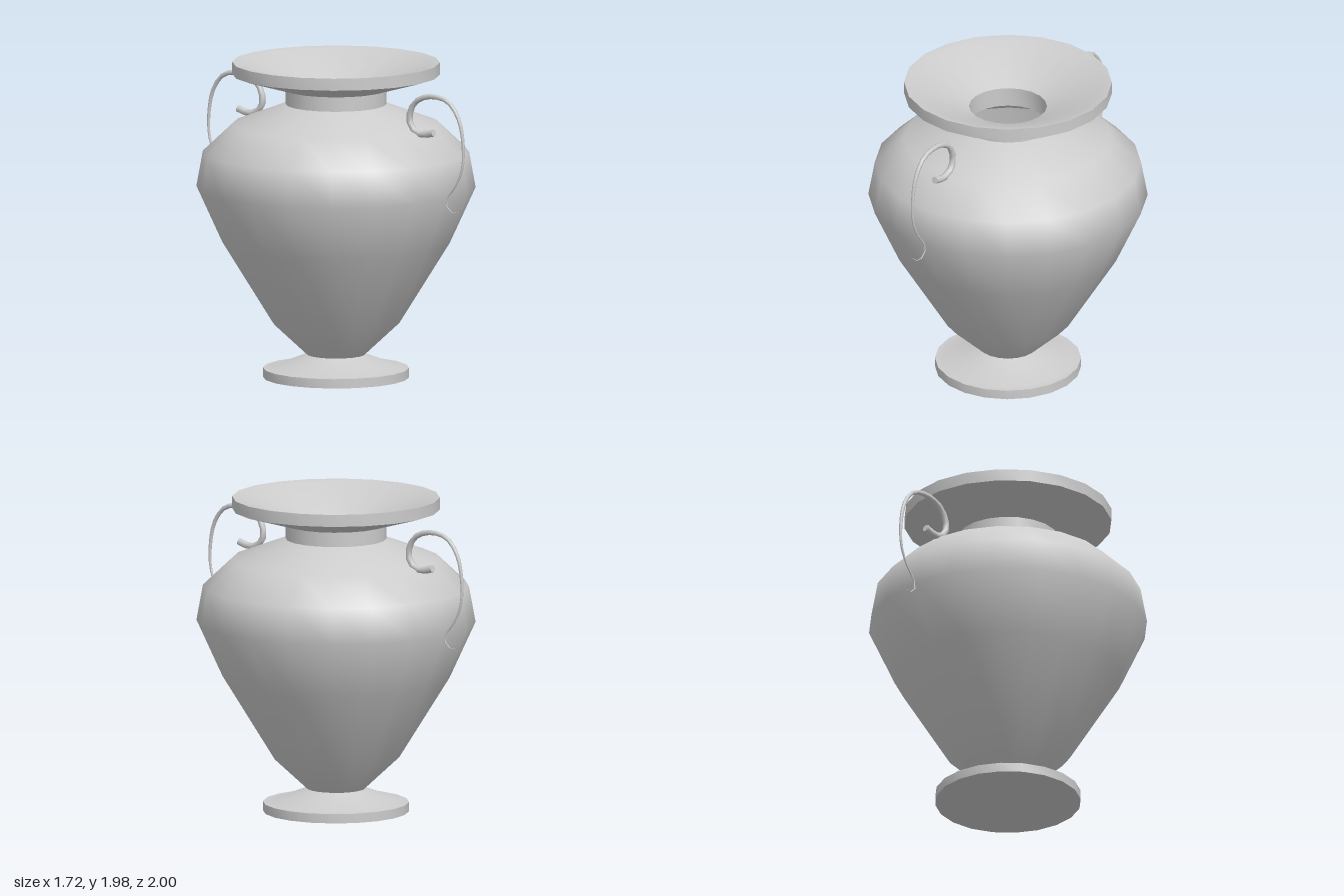
import * as THREE from 'three';
import { toCreasedNormals } from 'three/addons/utils/BufferGeometryUtils.js';

const material = new THREE.MeshStandardMaterial({ color: 0xcccccc });
const SIDES = 20;

// Turned part from [radius, height] pairs, listed so that the outside faces out
function turned(name, profile, crease) {
  const points = profile.map(([r, y]) => new THREE.Vector2(r, y));
  let geometry = new THREE.LatheGeometry(points, SIDES);
  if (crease) geometry = toCreasedNormals(geometry, crease);
  const mesh = new THREE.Mesh(geometry, material);
  mesh.name = name;
  return mesh;
}

// Scroll handle: a tube that thins from the curl to the lower tip
function scrollHandle(name) {
  const path = [
    [0.76, 1.61], [0.665, 1.59], [0.595, 1.62], [0.57, 1.685], [0.605, 1.775],
    [0.675, 1.82], [0.765, 1.835], [0.875, 1.81], [0.955, 1.71], [0.99, 1.54],
    [0.98, 1.4], [0.925, 1.285], [0.87, 1.22], [0.86, 1.16], [0.92, 1.12], [0.99, 1.165],
  ].map(([z, y]) => new THREE.Vector3(0, y, z));
  const curve = new THREE.CatmullRomCurve3(path);
  const rings = 28, around = 8, thick = 0.023;
  const tube = new THREE.TubeGeometry(curve, rings, thick, around);
  const pos = tube.attributes.position;
  const v = new THREE.Vector3();
  for (let i = 0; i <= rings; i++) {
    const centre = curve.getPointAt(i / rings);
    const taper = 1 - 0.92 * (i / rings);
    for (let j = 0; j <= around; j++) {
      const k = i * (around + 1) + j;
      v.fromBufferAttribute(pos, k).sub(centre).multiplyScalar(taper).add(centre);
      pos.setXYZ(k, v.x, v.y, v.z);
    }
  }

  const group = new THREE.Group();
  group.name = name;
  const scroll = new THREE.Mesh(tube, material);
  scroll.name = 'scroll';
  const cap = new THREE.Mesh(new THREE.CircleGeometry(thick, around), material);
  cap.name = 'scrollEnd';
  cap.position.copy(path[0]);
  cap.lookAt(path[0].clone().sub(curve.getTangentAt(0)));
  group.add(scroll, cap);
  return group;
}

export function createModel() {
  const vase = new THREE.Group();
  vase.name = 'vase';

  // Foot: flat disc with a low cone rising to the waist
  vase.add(turned('foot', [
    [0, 0], [0.36, 0.005], [0.45, 0.012], [0.45, 0.07], [0.4, 0.07], [0.18, 0.155],
  ], 0.4));

  // Smooth swelling body and shoulder
  vase.add(turned('body', [
    [0.18, 0.155], [0.39, 0.35], [0.7, 0.85], [0.86, 1.2],
    [0.82, 1.42], [0.64, 1.59], [0.31, 1.715],
  ]));

  vase.add(turned('neck', [[0.31, 1.715], [0.31, 1.805]]));

  // Flared lip with a funnel leading down to the mouth
  vase.add(turned('lip', [
    [0.31, 1.805], [0.64, 1.9], [0.64, 1.975], [0.585, 1.965], [0.24, 1.81],
  ], 0.4));

  // Hollow inside, following the outer wall down to a flat floor
  vase.add(turned('inside', [
    [0.24, 1.81], [0.24, 1.69], [0.61, 1.56], [0.78, 1.4], [0.82, 1.2],
    [0.66, 0.86], [0.36, 0.38], [0.16, 0.19], [0, 0.19],
  ], 0.6));

  // Handles at the front and back
  const front = scrollHandle('frontHandle');
  const back = scrollHandle('backHandle');
  back.rotation.y = Math.PI;
  vase.add(front, back);

  return vase;
}
